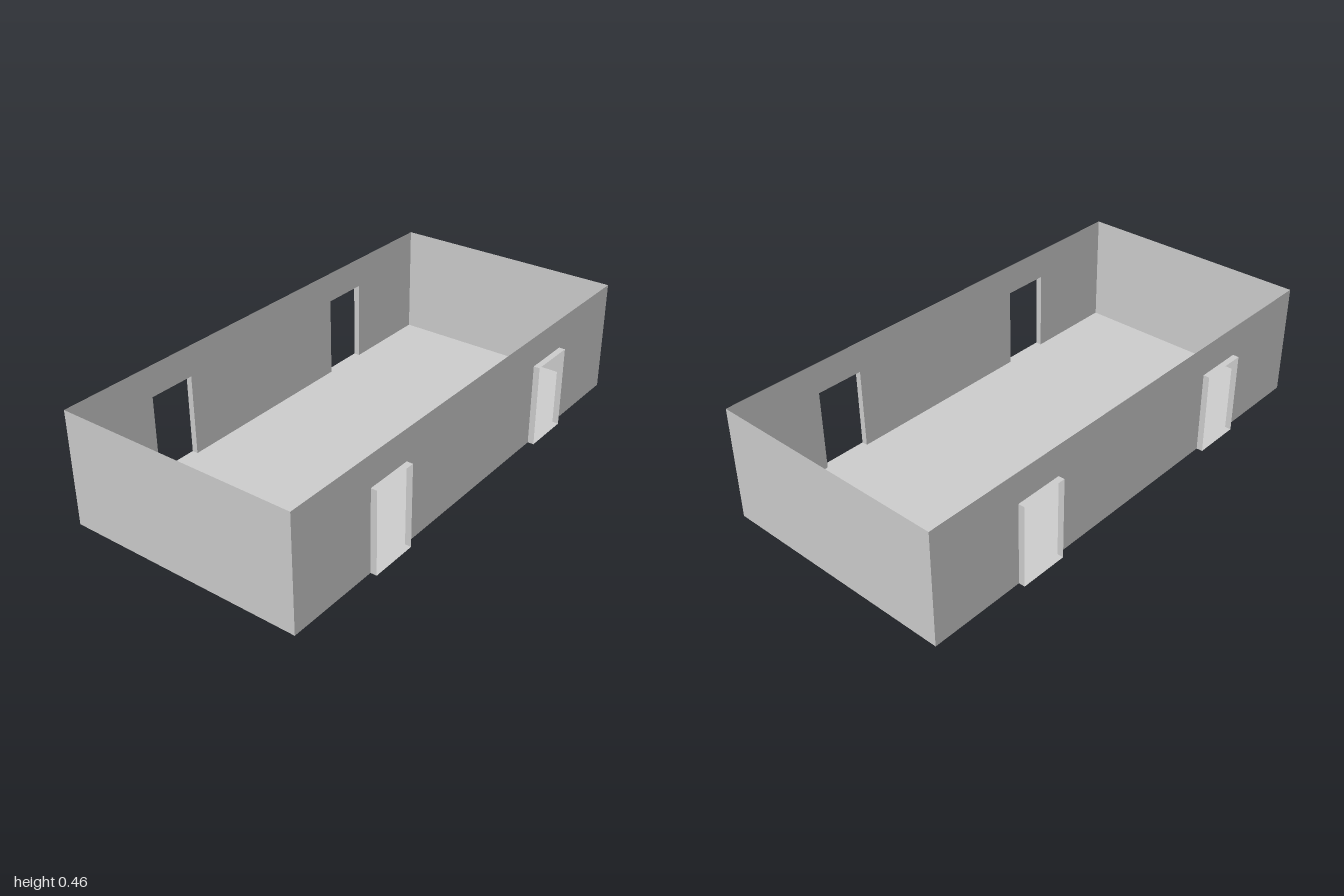
import * as THREE from 'three';

const HALF_W = 0.487, HALF_L = 1, HEIGHT = 0.46;
const DOOR_IN = 0.415, DOOR_OUT = 0.612, DOOR_H = 0.334, REVEAL = 0.025;

const material = new THREE.MeshStandardMaterial({
  color: 0xcccccc, flatShading: true, side: THREE.DoubleSide,
});

// Thin panel, turned and placed
function panel(name, w, h, position, rotation = [0, 0, 0]) {
  const mesh = new THREE.Mesh(new THREE.PlaneGeometry(w, h), material);
  mesh.name = name;
  mesh.position.set(...position);
  mesh.rotation.set(...rotation);
  return mesh;
}

// Long wall outline with two doorways cut up from the floor
function sideWallGeometry() {
  const shape = new THREE.Shape([
    [-HALF_L, 0], [-DOOR_OUT, 0], [-DOOR_OUT, DOOR_H], [-DOOR_IN, DOOR_H], [-DOOR_IN, 0],
    [DOOR_IN, 0], [DOOR_IN, DOOR_H], [DOOR_OUT, DOOR_H], [DOOR_OUT, 0],
    [HALF_L, 0], [HALF_L, HEIGHT], [-HALF_L, HEIGHT],
  ].map(([x, y]) => new THREE.Vector2(x, y)));
  return new THREE.ShapeGeometry(shape);
}

// Doorway lining that projects outward from the wall
function doorFrame(side, end) {
  const frame = new THREE.Group();
  frame.name = `${side > 0 ? 'left' : 'right'}${end > 0 ? 'Front' : 'Back'}DoorFrame`;
  const x = side * (HALF_W + REVEAL / 2);
  const depth = DOOR_OUT - DOOR_IN;
  const z = end * (DOOR_IN + DOOR_OUT) / 2;
  const flat = [-Math.PI / 2, 0, 0];
  frame.add(
    panel('outerJamb', REVEAL, DOOR_H, [x, DOOR_H / 2, end * DOOR_OUT]),
    panel('innerJamb', REVEAL, DOOR_H, [x, DOOR_H / 2, end * DOOR_IN]),
    panel('lintel', REVEAL, depth, [x, DOOR_H, z], flat),
    panel('threshold', REVEAL, depth, [x, 0, z], flat),
  );
  return frame;
}

export function createModel() {
  const model = new THREE.Group();
  model.name = 'openRoom';

  // Floor and plain end walls
  model.add(
    panel('floor', HALF_W * 2, HALF_L * 2, [0, 0, 0], [-Math.PI / 2, 0, 0]),
    panel('frontWall', HALF_W * 2, HEIGHT, [0, HEIGHT / 2, HALF_L]),
    panel('backWall', HALF_W * 2, HEIGHT, [0, HEIGHT / 2, -HALF_L], [0, Math.PI, 0]),
  );

  // Side walls with their door frames
  for (const side of [1, -1]) {
    const wall = new THREE.Mesh(sideWallGeometry(), material);
    wall.name = side > 0 ? 'leftWall' : 'rightWall';
    wall.rotation.y = side * Math.PI / 2;
    wall.position.x = side * HALF_W;
    model.add(wall, doorFrame(side, 1), doorFrame(side, -1));
  }
  return model;
}
